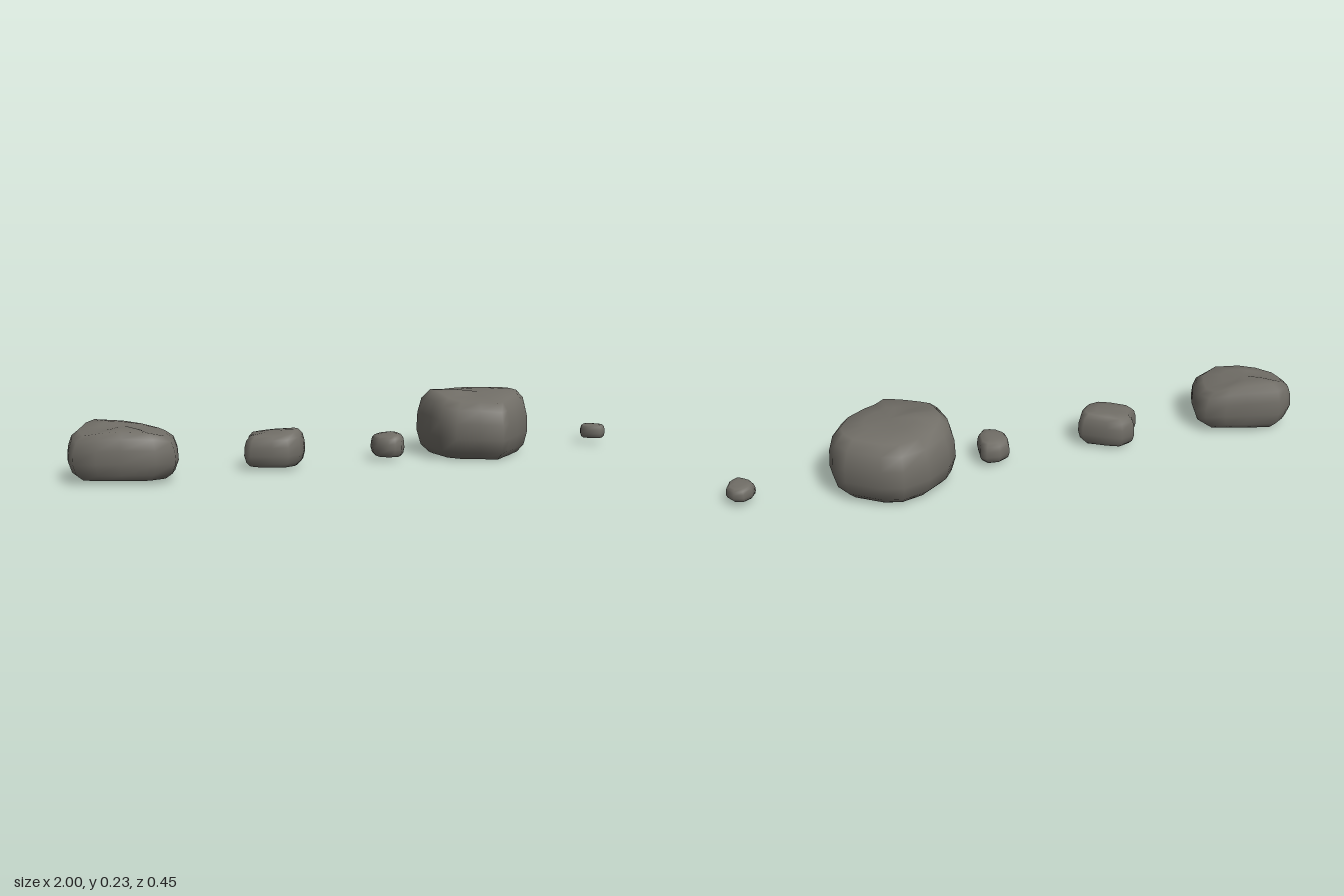
import * as THREE from 'three';

const stone = new THREE.MeshStandardMaterial({ color: 0x716e67 });
stone.name = 'grey stone';

// Cross-sections from base to crown: [outline scale, share of height]
const RINGS = [[0.45, 0], [0.8, 0.01], [0.93, 0.13], [1, 0.36], [0.985, 0.62], [0.92, 0.84], [0.78, 0.97], [0.42, 1]];

// A boulder from a plan outline of [x, z, top height] points
function makeRock(name, base, [cx, cz, crown], outline) {
  const n = outline.length;
  const pos = [cx, base, cz];
  const index = [];
  RINGS.forEach(([s, h], r) => {
    for (const [x, z, top] of outline) {
      // the innermost ring eases toward the crown height
      const t = r === RINGS.length - 1 ? top * 0.6 + crown * 0.4 : top;
      pos.push(cx + (x - cx) * s, base + (t - base) * h, cz + (z - cz) * s);
    }
  });
  pos.push(cx, crown, cz);
  const last = pos.length / 3 - 1;
  const id = (r, i) => 1 + r * n + (i % n);
  for (let i = 0; i < n; i++) {
    index.push(0, id(0, i + 1), id(0, i));
    for (let r = 0; r < RINGS.length - 1; r++) {
      const a = id(r, i), b = id(r, i + 1), c = id(r + 1, i + 1), d = id(r + 1, i);
      index.push(a, b, c, a, c, d);
    }
    index.push(id(RINGS.length - 1, i), id(RINGS.length - 1, i + 1), last);
  }
  const g = new THREE.BufferGeometry();
  g.setAttribute('position', new THREE.Float32BufferAttribute(pos, 3));
  g.setIndex(index);
  g.computeVertexNormals();
  const mesh = new THREE.Mesh(g, stone);
  mesh.name = name;
  return mesh;
}

// Outlines run counter-clockwise seen from above (+z toward the viewer)
export function createModel() {
  const group = new THREE.Group();
  group.name = 'rocks';
  group.add(
    makeRock('wideRock', 0.01, [-0.83, -0.02, 0.172], [
      [-1, 0.01, 0.155], [-0.94, 0.055, 0.165], [-0.87, 0.09, 0.17], [-0.77, 0.125, 0.165], [-0.7, 0.105, 0.15],
      [-0.67, 0.04, 0.15], [-0.65, -0.03, 0.15], [-0.665, -0.085, 0.155], [-0.73, -0.11, 0.17],
      [-0.8, -0.135, 0.18], [-0.91, -0.165, 0.187], [-0.955, -0.135, 0.18], [-0.99, -0.1, 0.165], [-1, -0.05, 0.16],
    ]),
    makeRock('smallRock', 0.01, [-0.325, -0.02, 0.122], [
      [-0.43, -0.015, 0.115], [-0.42, 0.015, 0.115], [-0.36, 0.055, 0.118], [-0.31, 0.075, 0.12], [-0.26, 0.055, 0.125],
      [-0.235, 0.025, 0.13], [-0.215, -0.01, 0.13], [-0.22, -0.04, 0.13], [-0.29, -0.085, 0.125],
      [-0.34, -0.11, 0.12], [-0.39, -0.095, 0.118], [-0.4, -0.055, 0.115],
    ]),
    makeRock('pebble', 0.013, [0.096, -0.01, 0.092], [
      [0.04, -0.015, 0.084], [0.04, 0.02, 0.084], [0.065, 0.05, 0.086], [0.09, 0.056, 0.088], [0.115, 0.055, 0.09],
      [0.14, 0.025, 0.09], [0.15, -0.04, 0.09], [0.135, -0.07, 0.09], [0.09, -0.075, 0.088], [0.05, -0.055, 0.085],
    ]),
    makeRock('boulder', 0, [0.45, -0.01, 0.216], [
      [0.245, 0.015, 0.228], [0.245, 0.085, 0.215], [0.28, 0.14, 0.205], [0.35, 0.183, 0.205], [0.415, 0.225, 0.2],
      [0.465, 0.185, 0.2], [0.52, 0.145, 0.208], [0.605, 0.075, 0.215], [0.655, -0.01, 0.22], [0.657, -0.075, 0.222],
      [0.63, -0.135, 0.222], [0.53, -0.21, 0.22], [0.46, -0.23, 0.218], [0.37, -0.205, 0.218],
      [0.285, -0.145, 0.222], [0.25, -0.095, 0.232], [0.243, -0.04, 0.235],
    ]),
    makeRock('tinyPebble', 0.02, [0.946, -0.01, 0.071], [
      [0.9, -0.02, 0.068], [0.91, 0.01, 0.068], [0.93, 0.028, 0.069], [0.95, 0.04, 0.07], [0.98, 0.02, 0.07],
      [0.995, -0.015, 0.068], [0.975, -0.05, 0.068], [0.945, -0.06, 0.07], [0.915, -0.045, 0.069],
    ]),
  );
  return group;
}
